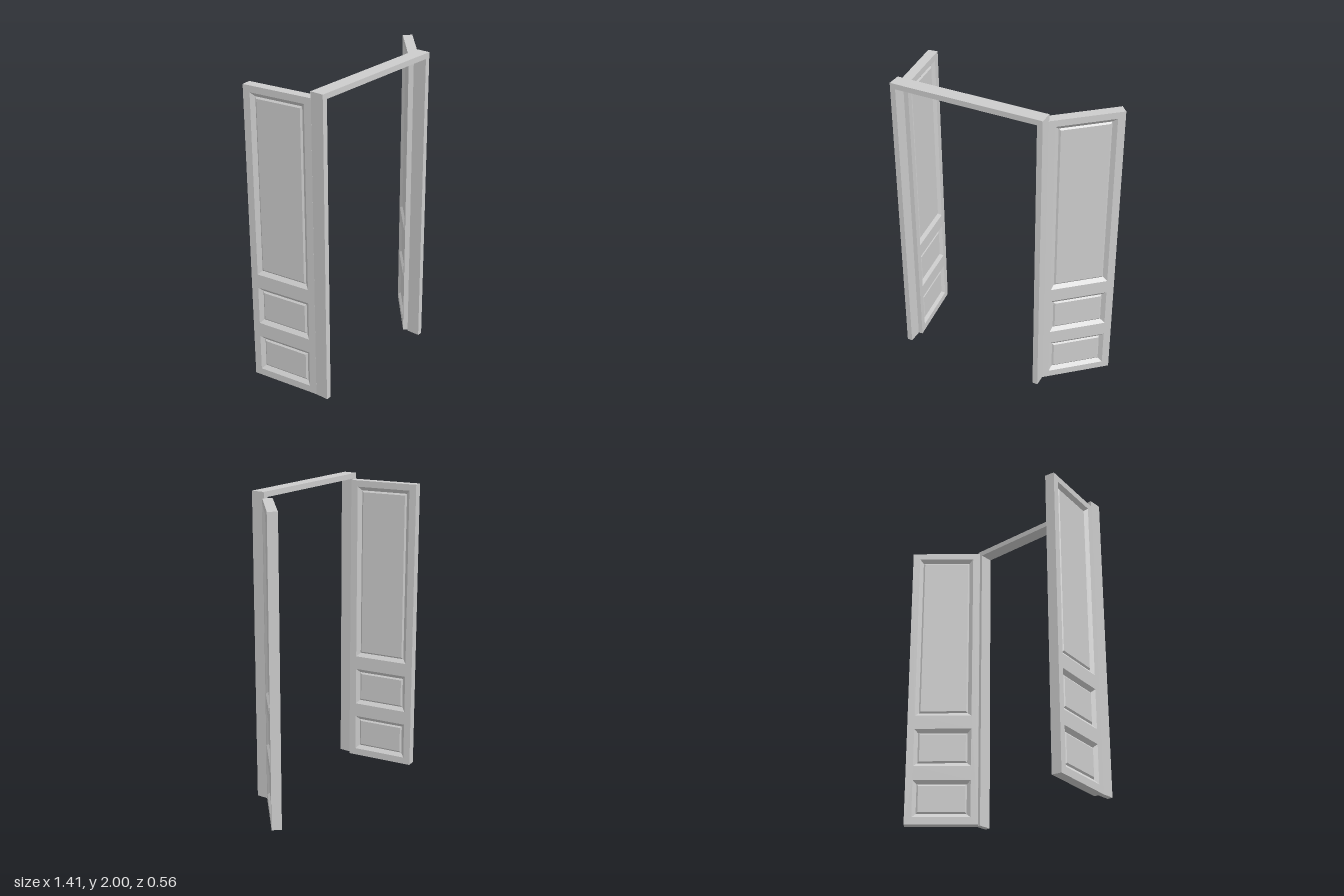
import * as THREE from 'three';

const material = new THREE.MeshStandardMaterial({ color: 0xcccccc, flatShading: true });
const LEAF = { width: 0.467, height: 1.96, depth: 0.063, stile: 0.047 };
// Bottom and top of each panel opening
const OPENINGS = [[0.047, 0.293], [0.387, 0.643], [0.735, 1.918]];
// Panel profile from the opening edge inward: [inset, depth below the leaf face]
const PROFILE = [[0, 0], [0.005, 0.004], [0.025, 0.02], [0.036, 0.012]];

function rectangle(Type, x0, y0, x1, y1) {
  const r = new Type();
  r.moveTo(x0, y0);
  r.lineTo(x1, y0);
  r.lineTo(x1, y1);
  r.lineTo(x0, y1);
  r.closePath();
  return r;
}

function addMesh(parent, geometry, name) {
  const mesh = new THREE.Mesh(geometry, material);
  mesh.name = name;
  parent.add(mesh);
  return mesh;
}

// Sloped moulding, groove and raised field, as nested rectangles centred on the origin
function panelGeometry(width, height) {
  const positions = [];
  const index = [];
  PROFILE.forEach(([inset, depth], ring) => {
    const x = width / 2 - inset;
    const y = height / 2 - inset;
    const z = LEAF.depth / 2 - depth;
    positions.push(-x, -y, z, x, -y, z, x, y, z, -x, y, z);
    if (ring === 0) return;
    for (let i = 0; i < 4; i++) {
      const j = (i + 1) % 4;
      const a = (ring - 1) * 4;
      const b = ring * 4;
      index.push(a + i, a + j, b + j, a + i, b + j, b + i);
    }
  });
  const c = (PROFILE.length - 1) * 4;
  index.push(c, c + 1, c + 2, c, c + 2, c + 3);
  const geometry = new THREE.BufferGeometry();
  geometry.setAttribute('position', new THREE.Float32BufferAttribute(positions, 3));
  geometry.setIndex(index);
  const flat = geometry.toNonIndexed();
  flat.computeVertexNormals();
  return flat;
}

// Door leaf running along local +x from its hinge edge
function createLeaf(name) {
  const leaf = new THREE.Group();
  leaf.name = name;
  const { width, height, depth, stile } = LEAF;

  // Stiles and rails
  const outline = rectangle(THREE.Shape, 0, 0, width, height);
  for (const [y0, y1] of OPENINGS) {
    outline.holes.push(rectangle(THREE.Path, stile, y0, width - stile, y1));
  }
  const slab = new THREE.ExtrudeGeometry(outline, { depth, bevelEnabled: false });
  slab.translate(0, 0, -depth / 2);
  addMesh(leaf, slab, 'stilesAndRails');

  // Raised panels on both faces
  for (const [y0, y1] of OPENINGS) {
    const geometry = panelGeometry(width - 2 * stile, y1 - y0);
    for (const [side, turn] of [['front', 0], ['back', Math.PI]]) {
      const panel = addMesh(leaf, geometry, side + 'Panel');
      panel.position.set(width / 2, (y0 + y1) / 2, 0);
      panel.rotation.y = turn;
    }
  }
  return leaf;
}

export function createModel() {
  const model = new THREE.Group();
  model.name = 'doubleDoor';

  // Door frame: two jambs and a lintel in one profile
  const [x0, x1, top, thick] = [-0.645, 0.355, 2, 0.035];
  const profile = new THREE.Shape([
    [x0, 0], [x0 + thick, 0], [x0 + thick, top - thick], [x1 - thick, top - thick],
    [x1 - thick, 0], [x1, 0], [x1, top], [x0, top],
  ].map(([x, y]) => new THREE.Vector2(x, y)));
  const frame = addMesh(model, new THREE.ExtrudeGeometry(profile, { depth: 0.09, bevelEnabled: false }), 'doorFrame');
  frame.position.z = 0.187;

  // Leaves swung open behind the frame
  const leftLeaf = createLeaf('leftLeaf');
  leftLeaf.position.set(0.331, 0, 0.179);
  leftLeaf.rotation.y = THREE.MathUtils.degToRad(41.3);
  const rightLeaf = createLeaf('rightLeaf');
  rightLeaf.position.set(-0.614, 0, 0.186);
  rightLeaf.rotation.y = THREE.MathUtils.degToRad(97.4);
  model.add(leftLeaf, rightLeaf);

  return model;
}
